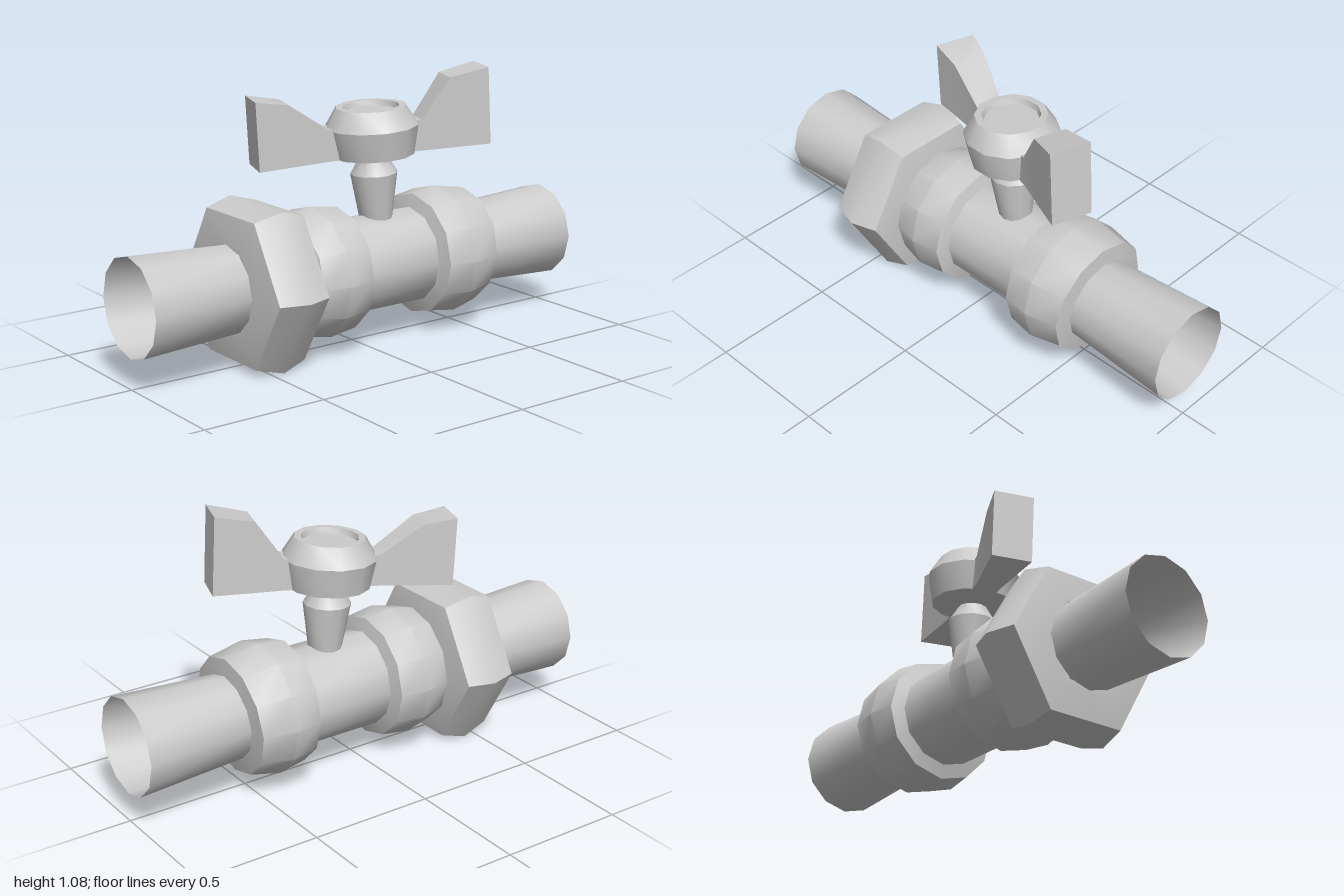
import * as THREE from 'three';
import { toCreasedNormals } from 'three/addons/utils/BufferGeometryUtils.js';

const AXIS_Y = 0.31;   // height of the pipe axis
const material = new THREE.MeshStandardMaterial({ color: 0xcccccc, side: THREE.DoubleSide });

function addMesh(parent, name, geometry) {
  const mesh = new THREE.Mesh(toCreasedNormals(geometry, 0.6), material);
  mesh.name = name;
  parent.add(mesh);
  return mesh;
}

// Faceted turned part; profile points are [radius, height]
function turned(profile, sides = 12) {
  return new THREE.LatheGeometry(profile.map(([r, h]) => new THREE.Vector2(r, h)), sides);
}

// Same, laid along the pipe; profile points are [x, radius]
function alongPipe(profile, sides = 12) {
  return turned(profile.map(([x, r]) => [r, x]), sides).rotateZ(-Math.PI / 2).translate(0, AXIS_Y, 0);
}

// Wing built from rectangular stations [distance, bottom, top, half width]
function wing(stations) {
  const pos = [], index = [];
  for (const [u, b, t, w] of stations) pos.push(u, b, w, u, b, -w, u, t, -w, u, t, w);
  const last = (stations.length - 1) * 4;
  for (let s = 0; s < last; s += 4) {
    for (let i = 0; i < 4; i++) {
      const a = s + i, b = s + (i + 1) % 4;
      index.push(a, b, b + 4, a, b + 4, a + 4);
    }
  }
  index.push(0, 2, 1, 0, 3, 2, last, last + 1, last + 2, last, last + 2, last + 3);
  const g = new THREE.BufferGeometry();
  g.setAttribute('position', new THREE.Float32BufferAttribute(pos, 3));
  g.setIndex(index);
  return g;
}

export function createModel() {
  const model = new THREE.Group();
  model.name = 'ballValve';

  // Flared open pipe ends
  addMesh(model, 'leftwardPipe', alongPipe([[-1, 0.193], [-0.575, 0.172]]));
  addMesh(model, 'rightwardPipe', alongPipe([[0.55, 0.168], [1, 0.193]]));

  // Valve body with two swollen collars; its outlet face leans a little
  const body = alongPipe([
    [-0.335, 0.172], [-0.32, 0.195], [-0.305, 0.238], [-0.195, 0.263], [-0.075, 0.247], [-0.06, 0.193],
    [0.29, 0.193], [0.305, 0.247], [0.42, 0.265], [0.555, 0.238], [0.565, 0.165],
  ]);
  const p = body.attributes.position;
  for (let i = 0; i < p.count; i++) {
    if (p.getX(i) > 0.5) p.setX(i, p.getX(i) + 0.065 * (p.getY(i) - AXIS_Y));
  }
  addMesh(model, 'valveBody', body);

  // Hexagonal union nut with chamfered rims and a hexagonal bore
  const acrossFlats = [
    [-0.585, 0.152], [-0.585, 0.172], [-0.565, 0.281], [-0.45, 0.31],
    [-0.345, 0.281], [-0.32, 0.172], [-0.32, 0.152], [-0.585, 0.152],
  ];
  addMesh(model, 'unionNut',
    alongPipe(acrossFlats.map(([x, a]) => [x, a / Math.cos(Math.PI / 6)]), 6));

  // Stem and handle, tipped slightly as one unit
  const top = new THREE.Group();
  top.name = 'stemAndHandle';
  top.position.set(0.105, 0.73, 0);
  top.rotation.z = 0.06;
  model.add(top);

  addMesh(top, 'stem', turned([[0.065, -0.25], [0.094, -0.06], [0.058, 0], [0.058, 0.03]]));

  const handle = new THREE.Group();
  handle.name = 'handle';
  handle.rotation.y = -0.335;
  top.add(handle);

  // Hub with a shallow recess on top
  addMesh(handle, 'hub', turned([
    [0, 0], [0.06, 0], [0.165, 0.015], [0.186, 0.13], [0.14, 0.207], [0.113, 0.207], [0.106, 0.185], [0, 0.185],
  ]));

  // Two flared finger wings
  addMesh(handle, 'leftWing', wing([
    [0.11, 0.015, 0.13, 0.05], [0.19, 0.015, 0.14, 0.05], [0.31, 0.016, 0.297, 0.064], [0.465, 0.018, 0.325, 0.081],
  ]));
  addMesh(handle, 'rightWing', wing([
    [0.11, 0.015, 0.13, 0.05], [0.19, 0.015, 0.14, 0.05], [0.35, 0.014, 0.258, 0.066], [0.48, 0.013, 0.284, 0.08],
  ])).rotation.y = Math.PI;

  return model;
}
